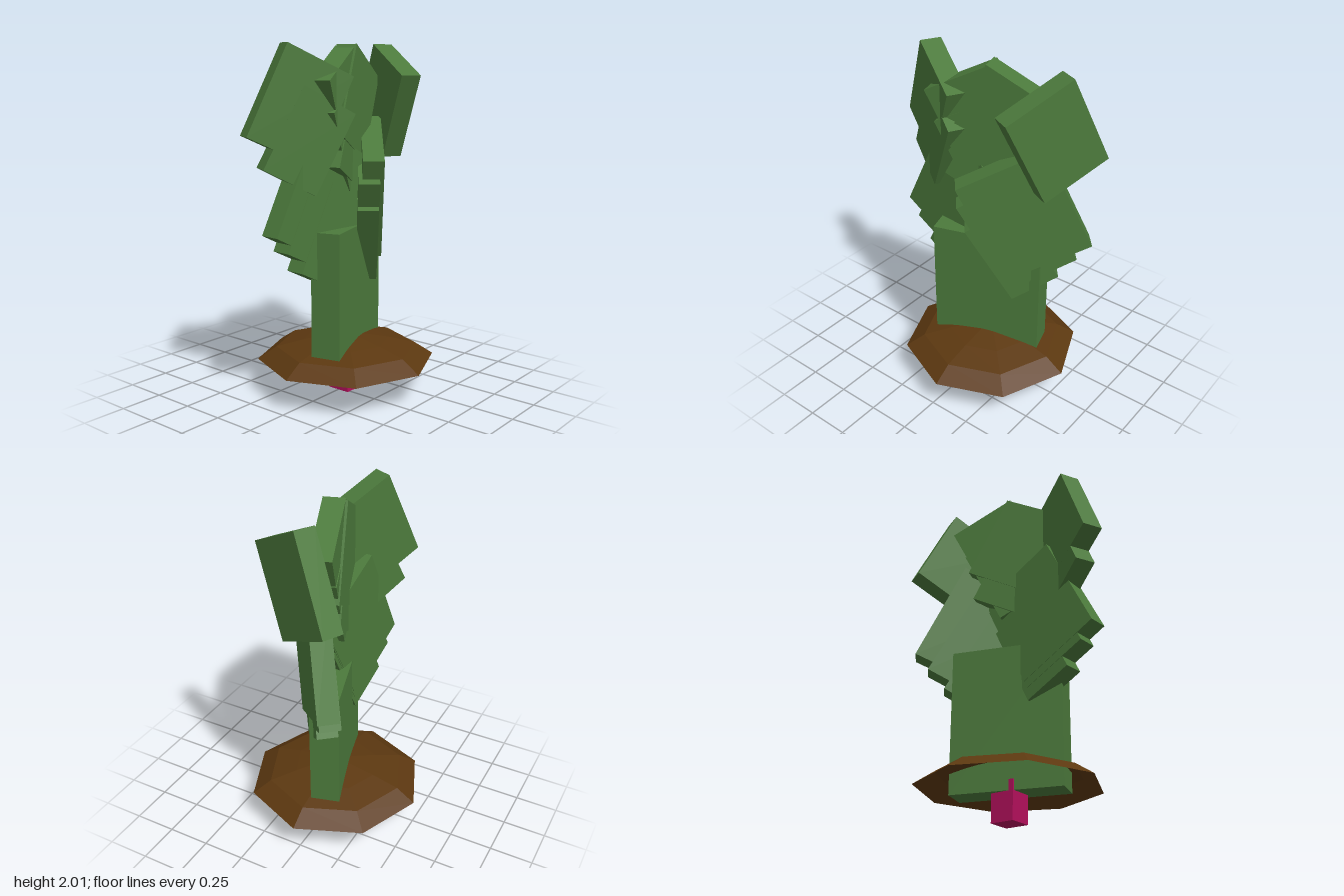
import * as THREE from 'three';

const green = new THREE.MeshStandardMaterial({ color: 0x4c7a3c, flatShading: true });
green.name = 'cactusGreen';
const brown = new THREE.MeshStandardMaterial({ color: 0x5c3810, flatShading: true, side: THREE.DoubleSide });
brown.name = 'soilBrown';
const magenta = new THREE.MeshStandardMaterial({ color: 0xb3105c });
magenta.name = 'pegMagenta';

// A slab tilted in its own plane, then turned about the vertical axis (degrees)
function slab(name, size, pos, yaw = 0, tilt = 0, material = green) {
  const mesh = new THREE.Mesh(new THREE.BoxGeometry(...size), material);
  mesh.name = name;
  mesh.position.set(...pos);
  mesh.rotation.set(0, THREE.MathUtils.degToRad(yaw), THREE.MathUtils.degToRad(tilt), 'YXZ');
  return mesh;
}

// A cactus pad made of overlapping slabs: [width, height, x, y, z, tilt]
function pad(name, yaw, slabs) {
  const group = new THREE.Group();
  group.name = name;
  slabs.forEach(([w, h, x, y, z, tilt], i) =>
    group.add(slab(`${name}Slab${i + 1}`, [w, h, 0.12], [x, y, z], yaw, tilt)));
  return group;
}

export function createModel() {
  const model = new THREE.Group();
  model.name = 'prickly cactus';

  // Peg under the plant
  model.add(slab('peg', [0.14, 0.22, 0.14], [0.05, 0.11, 0], 0, 0, magenta));

  // Eight-sided open mound of soil
  const profile = [[0.52, 0.19], [0.41, 0.262], [0.25, 0.3], [0.08, 0.33], [0, 0.33]];
  const soil = new THREE.Mesh(
    new THREE.LatheGeometry(profile.map(([r, y]) => new THREE.Vector2(r, y)), 8), brown);
  soil.name = 'soilMound';
  soil.position.x = 0.05;
  model.add(soil);

  // Upright trunk
  model.add(slab('trunk', [0.64, 0.83, 0.168], [0.05, 0.575, 0.005], 17.3));

  // Lower pads, each stepping down through three slabs
  model.add(pad('lowerLeftPad', 39.8, [
    [0.52, 0.65, 0.275, 1.185, 0.005, 25],
    [0.42, 0.62, 0.233, 1.07, 0.01, 28.4],
    [0.30, 0.53, 0.21, 0.935, 0.025, 30],
  ]));
  model.add(pad('lowerRightPad', -5, [
    [0.52, 0.65, -0.17, 1.17, 0, -27],
    [0.42, 0.62, -0.147, 1.087, 0.004, -26.5],
    [0.30, 0.53, -0.125, 0.95, 0.008, -26.5],
  ]));

  // Upper pads
  model.add(pad('upperRightPad', -28, [
    [0.41, 0.53, -0.343, 1.675, -0.013, -25.4],
    [0.33, 0.49, -0.3, 1.49, 0.01, -28],
  ]));
  model.add(pad('upperLeftPad', 63, [[0.41, 0.53, 0.436, 1.68, 0, 26]]));

  // Crown: slabs crossing in opposite tilts
  model.add(pad('crownPad', 17.3, [
    [0.41, 0.53, 0.1, 1.672, -0.008, -27],
    [0.41, 0.53, -0.01, 1.665, 0.012, 27],
    [0.33, 0.5, 0.06, 1.49, 0, -27],
    [0.33, 0.5, 0, 1.49, 0.012, 27],
  ]));

  return model;
}
